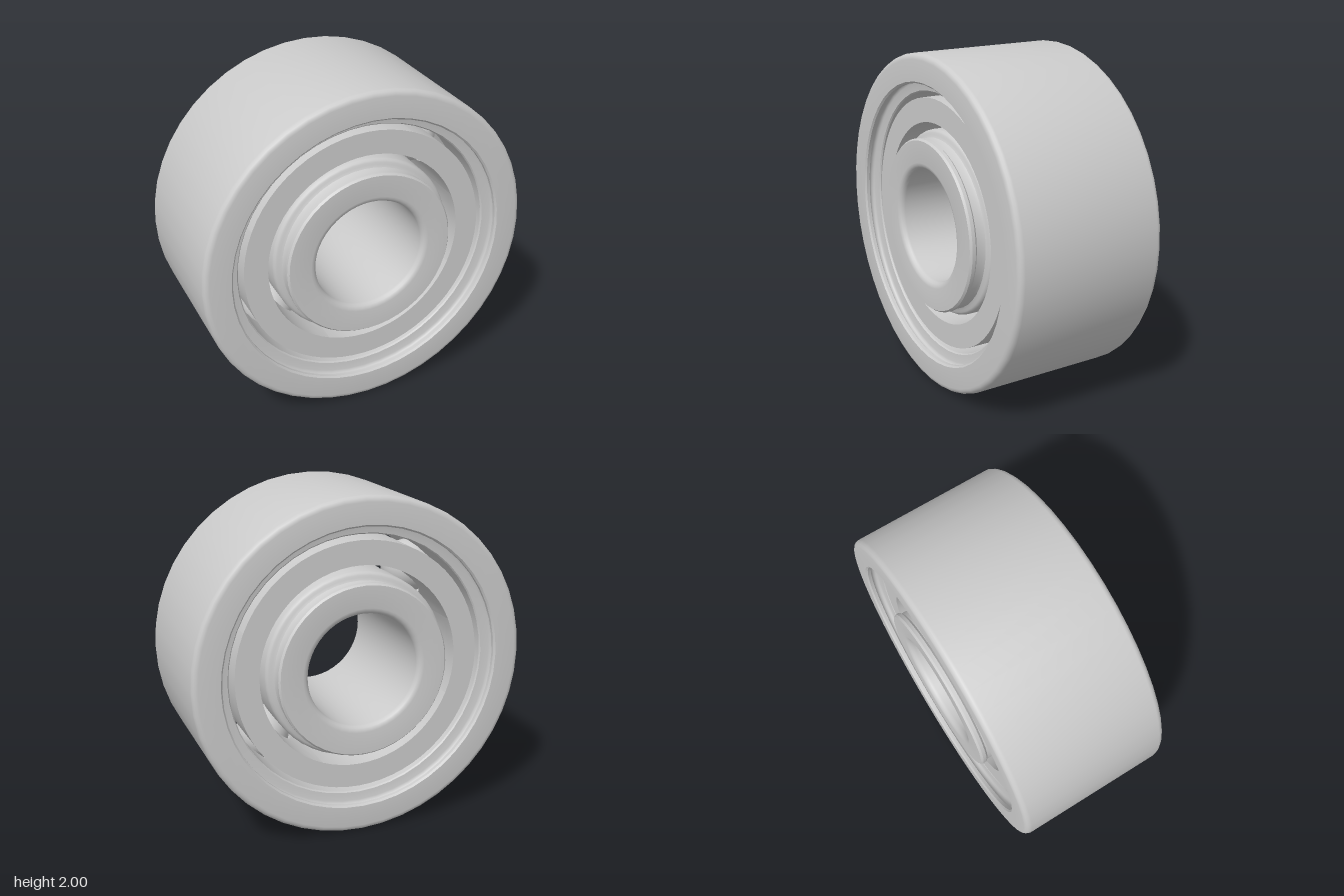
import * as THREE from 'three';
import { toCreasedNormals } from 'three/addons/utils/BufferGeometryUtils.js';
import { ParametricGeometry } from 'three/addons/geometries/ParametricGeometry.js';

const HALF = 0.465;        // half width of the rings
const CAGE_HALF = 0.39;    // half width of the cage
const BALLS = 8;
const PITCH = 0.665;       // radius of the circle of ball centres
const BALL_R = 0.16;
const SEGMENTS = 48;

const material = new THREE.MeshStandardMaterial({ color: 0xcccccc });

function addMesh(parent, name, geometry) {
  const mesh = new THREE.Mesh(geometry, material);
  mesh.name = name;
  parent.add(mesh);
  return mesh;
}

// Points [radius, z] of a quarter-round corner
function corner(cr, cz, radius, fromDeg, toDeg, steps = 4) {
  return Array.from({ length: steps + 1 }, (_, i) => {
    const a = THREE.MathUtils.degToRad(fromDeg + ((toDeg - fromDeg) * i) / steps);
    return [cr + radius * Math.cos(a), cz + radius * Math.sin(a)];
  });
}

// Half of a raceway, from its shoulder at `radius` to its deepest point at z = 0
function raceway(radius) {
  const groove = BALL_R + 0.004;
  const start = Math.acos(Math.abs(radius - PITCH) / groove);
  const sign = Math.sign(radius - PITCH);
  return Array.from({ length: 7 }, (_, i) => {
    const a = start * (1 - i / 6);
    return [PITCH + sign * groove * Math.cos(a), groove * Math.sin(a)];
  });
}

// Mirrors a half profile in z and turns it into a closed ring about the z axis
function ring(half) {
  const mirrored = half.slice().reverse().map(([r, z]) => [r, -z]);
  const points = [...half, ...mirrored, half[0]].map(([r, z]) => new THREE.Vector2(r, z));
  const geometry = new THREE.LatheGeometry(points, SEGMENTS).rotateX(Math.PI / 2);
  return toCreasedNormals(geometry, 0.6);
}

// One cage segment: a curved block with a round pocket through it
function cageSegment() {
  const inner = 0.6, outer = 0.742, pocket = BALL_R + 0.012;
  const halfAngle = Math.PI / BALLS;
  const square = [[1, -1], [1, 1], [-1, 1], [-1, -1], [1, -1]];
  const surface = (u, v, target) => {
    const s = u * 4, side = Math.min(3, Math.floor(s)), f = s - side;
    const [a, b] = [square[side], square[side + 1]];
    const edgeT = (a[0] + (b[0] - a[0]) * f) * halfAngle * PITCH;
    const edgeZ = (a[1] + (b[1] - a[1]) * f) * CAGE_HALF;
    const k = pocket / Math.hypot(edgeT, edgeZ);
    // inner face, end wall, outer face, pocket wall
    const p = v * 10;
    const spread = p <= 4 ? p / 4 : p <= 5 ? 1 : p <= 9 ? (9 - p) / 4 : 0;
    const r = p <= 4 ? inner : p <= 5 ? inner + (outer - inner) * (p - 4)
      : p <= 9 ? outer : outer + (inner - outer) * (p - 9);
    const scale = k + (1 - k) * spread;
    const angle = (edgeT * scale) / PITCH;
    target.set(r * Math.cos(angle), r * Math.sin(angle), edgeZ * scale);
  };
  return toCreasedNormals(new ParametricGeometry(surface, 32, 10), 0.6);
}

export function createModel() {
  const model = new THREE.Group();
  model.name = 'ballBearing';
  const bearing = new THREE.Group();
  bearing.name = 'bearing';
  bearing.position.y = 1;
  model.add(bearing);

  // Outer ring: rounded rim, shield seat with a shallow groove, shoulder, raceway
  addMesh(bearing, 'outerRing', ring([
    ...corner(0.965, HALF - 0.035, 0.035, 0, 90),
    [0.84, HALF], [0.83, HALF - 0.01], [0.83, 0.435],
    ...corner(0.83, 0.415, 0.02, 90, -90, 6),
    [0.8, 0.39], [0.782, 0.388], [0.775, 0.38],
    ...raceway(0.775).slice(0, -1), [PITCH + BALL_R + 0.004, 0],
  ]));

  // Inner ring, listed from the raceway out to the face and into the bore
  addMesh(bearing, 'innerRing', ring([
    ...raceway(0.553).reverse(),
    ...corner(0.523, 0.33, 0.03, 0, 90),
    [0.508, 0.368], [0.502, 0.385], [0.502, 0.42], [0.513, 0.432],
    [0.513, HALF - 0.012], [0.503, HALF],
    ...corner(0.372, HALF - 0.037, 0.037, 90, 180),
  ]));

  // Cage and balls, repeated around the pitch circle
  const cage = new THREE.Group();
  cage.name = 'cage';
  const balls = new THREE.Group();
  balls.name = 'balls';
  bearing.add(cage, balls);
  const segment = cageSegment();
  const sphere = new THREE.SphereGeometry(BALL_R, 32, 20);
  for (let i = 0; i < BALLS; i++) {
    const angle = (i * 2 * Math.PI) / BALLS;
    addMesh(cage, 'cageSegment', segment).rotation.z = angle;
    addMesh(balls, 'ball', sphere).position.set(PITCH * Math.cos(angle), PITCH * Math.sin(angle), 0);
  }
  return model;
}
